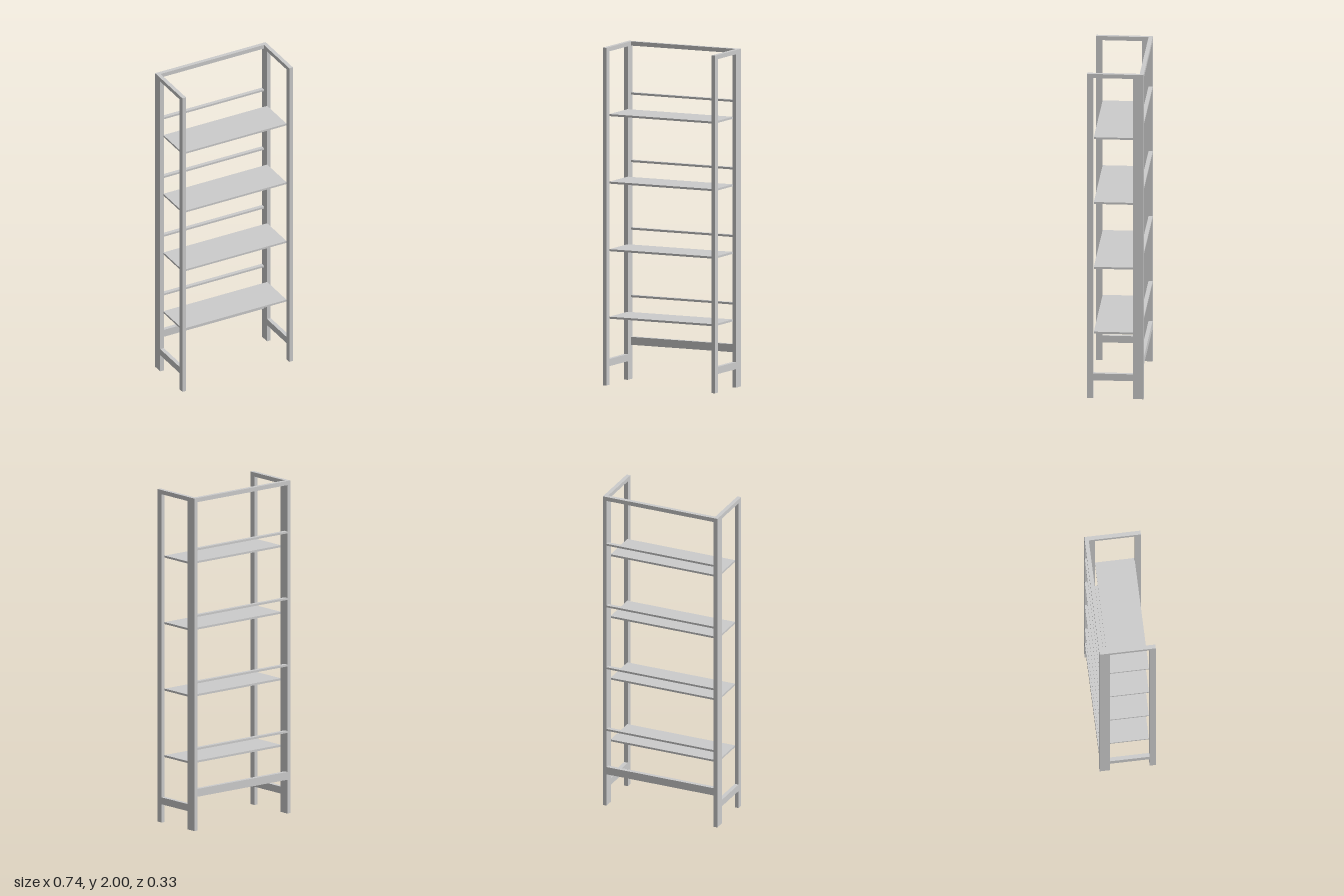
import * as THREE from 'three';

const material = new THREE.MeshStandardMaterial({ color: 0xcccccc, flatShading: true });

// Box spanning the given [min, max] ranges
function bar(name, [x0, x1], [y0, y1], [z0, z1]) {
  const mesh = new THREE.Mesh(new THREE.BoxGeometry(x1 - x0, y1 - y0, z1 - z0), material);
  mesh.name = name;
  mesh.position.set((x0 + x1) / 2, (y0 + y1) / 2, (z0 + z1) / 2);
  return mesh;
}

export function createModel() {
  const group = new THREE.Group();
  group.name = 'openShelf';

  const outer = 0.37, inner = 0.346, depth = 0.166;
  const frontInner = 0.13, backInner = -0.104;
  const span = [-inner, inner];
  const backRail = [-depth, -0.142];

  // Side frames: narrow front post, wide back post, top and foot rails
  for (const side of [-1, 1]) {
    const x = side > 0 ? [inner, outer] : [-outer, -inner];
    const frame = new THREE.Group();
    frame.name = side > 0 ? 'leftFrame' : 'rightFrame';
    frame.add(
      bar('frontPost', x, [0, 2], [frontInner, depth]),
      bar('backPost', x, [0, 2], [-depth, backInner]),
      bar('topSideRail', x, [1.975, 2], [backInner, frontInner]),
      bar('lowerSideRail', x, [0.11, 0.152], [backInner, frontInner])
    );
    group.add(frame);
  }

  // Back cross rails at top and bottom
  group.add(
    bar('topBackRail', span, [1.975, 2], backRail),
    bar('lowerBackRail', span, [0.203, 0.25], backRail)
  );

  // Four shelves, each with a thin stop rail behind it
  for (let i = 0; i < 4; i++) {
    const y = 0.4 * (i + 1);
    group.add(
      bar('shelf', [-0.348, 0.348], [y - 0.009, y + 0.003], [-0.106, 0.128]),
      bar('stopRail', span, [y + 0.085, y + 0.097], backRail)
    );
  }
  return group;
}
